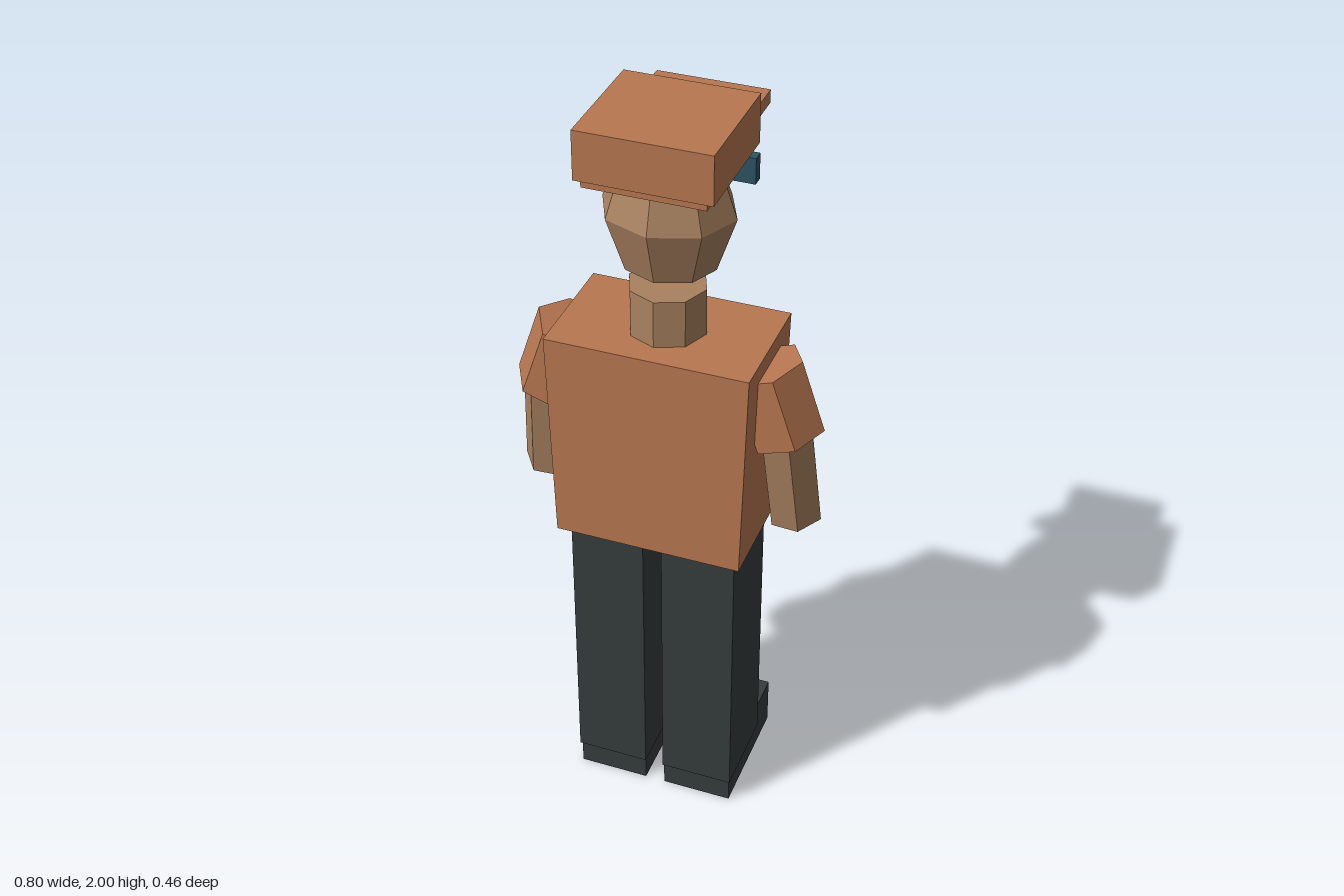
import * as THREE from 'three';

const mat = (name, color) => {
  const m = new THREE.MeshStandardMaterial({ color, flatShading: true });
  m.name = name;
  return m;
};

export function createModel() {
  const cloth = mat('orange cloth', 0xb87751);
  const skin = mat('skin', 0xa98260);
  const dark = mat('dark trousers', 0x353c3c);
  const visor = mat('teal glasses', 0x2b5563);

  const group = new THREE.Group();
  group.name = 'figure';

  const add = (name, geometry, material) => {
    const mesh = new THREE.Mesh(geometry, material);
    mesh.name = name;
    group.add(mesh);
    return mesh;
  };

  // Box given by its limits on each axis
  const box = (name, material, [x0, x1], [y0, y1], [z0, z1]) => {
    const g = new THREE.BoxGeometry(x1 - x0, y1 - y0, z1 - z0);
    g.translate((x0 + x1) / 2, (y0 + y1) / 2, (z0 + z1) / 2);
    return add(name, g, material);
  };

  // Faceted prism from point a up to point b
  const limb = (name, material, a, b, radius, sides, turn) => {
    const from = new THREE.Vector3(...a);
    const to = new THREE.Vector3(...b);
    const g = new THREE.CylinderGeometry(radius, radius, from.distanceTo(to), sides, 1, false, turn);
    const mesh = add(name, g, material);
    mesh.position.copy(from).lerp(to, 0.5);
    mesh.quaternion.setFromUnitVectors(new THREE.Vector3(0, 1, 0), to.sub(from).normalize());
  };

  // Torso, slightly narrower at the hem
  const torso = box('torso', cloth, [-0.258, 0.258], [0.858, 1.43], [-0.083, 0.23]);
  const p = torso.geometry.attributes.position;
  for (let i = 0; i < p.count; i++) {
    if (p.getY(i) < 1) p.setX(i, p.getX(i) * 0.94);
  }
  torso.geometry.computeVertexNormals();

  // Neck and head
  limb('neck', skin, [0, 1.41, 0.074], [0, 1.555, 0.074], 0.098, 8, 0);
  const head = new THREE.SphereGeometry(1, 8, 4);
  head.scale(0.166, 0.203, 0.147);
  head.translate(0, 1.75, 0.063);
  add('head', head, skin);
  box('nose', skin, [-0.03, 0.03], [1.71, 1.785], [-0.13, -0.06]);
  box('glasses', visor, [-0.162, 0.162], [1.768, 1.836], [-0.104, -0.074]);

  // Cap
  box('cap', cloth, [-0.167, 0.167], [1.875, 2], [-0.082, 0.23]);
  box('capBand', cloth, [-0.15, 0.15], [1.858, 1.876], [-0.072, 0.225]);
  box('capBrim', cloth, [-0.142, 0.142], [1.9, 1.934], [-0.23, -0.08]);

  // Arms and legs, mirrored
  for (const s of [1, -1]) {
    const side = s > 0 ? 'left' : 'right';
    limb(side + 'Sleeve', cloth, [s * 0.307, 1.191, 0.073], [s * 0.245, 1.376, 0.073],
      0.098, 6, s * Math.PI / 2);
    limb(side + 'Forearm', skin, [s * 0.328, 0.935, 0.05], [s * 0.308, 1.2, 0.083],
      0.071, 6, s * (Math.PI / 2 - 0.12));
    const span = (a, b) => (s > 0 ? [a, b] : [-b, -a]);
    box(side + 'Leg', dark, span(0.025, 0.219), [0.07, 0.86], [-0.041, 0.195]);
    box(side + 'Shoe', dark, span(0.027, 0.215), [0, 0.14], [-0.147, 0.188]);
  }

  return group;
}
